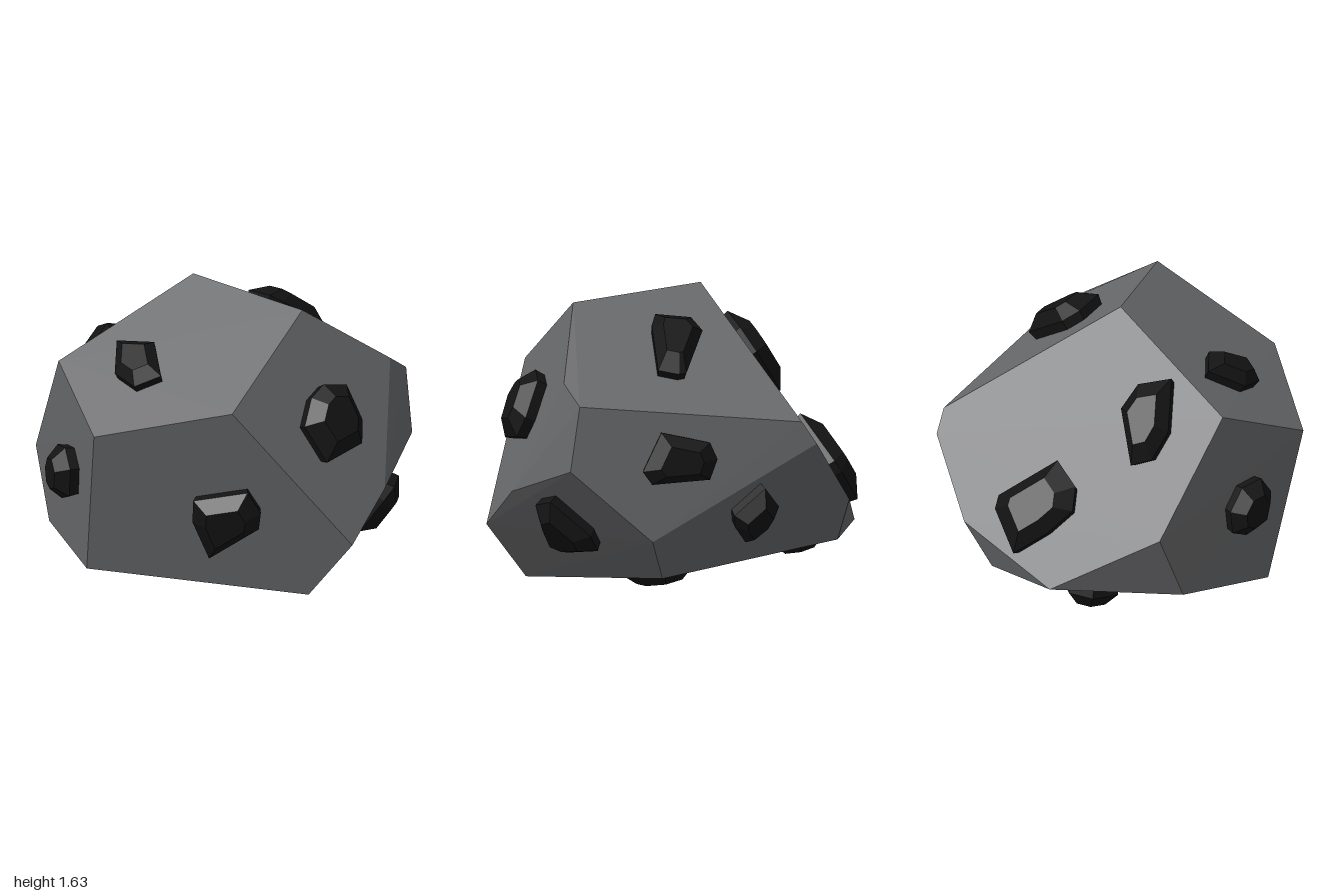
import * as THREE from 'three';
import { ConvexGeometry } from 'three/addons/geometries/ConvexGeometry.js';

const v = (x, y, z) => new THREE.Vector3(x, y, z);

// Corners of the faceted boulder
const corner = {
  peak: v(0, 1.62, -0.17), ridgeFront: v(0.16, 1.56, 0.54),
  frontTopR: v(-0.46, 1.15, 0.7), backTopR: v(-0.74, 1.23, -0.4), sideR: v(-0.94, 0.98, 0.13),
  baseR: v(-0.83, 0.175, -0.06), baseFront: v(0.01, 0.06, 0.77), nose: v(0.12, 0.37, 1),
  cheek: v(0.42, 0.6, 0.91), cheekSide: v(0.82, 0.77, 0.66), browFront: v(0.66, 1.22, 0.67),
  browSide: v(0.82, 1.12, 0.61), backTopL: v(0.845, 1.01, -0.58), backSideL: v(0.845, 0.89, -0.66),
  sideL: v(0.83, 0.38, 0.22), baseL: v(0.66, 0.15, 0.14), tail: v(-0.02, 0.31, -1),
  backLowL: v(0.56, 0.53, -0.88), baseBackL: v(0.415, 0.287, -0.84),
  backLowR: v(-0.57, 0.626, -0.79), baseBackR: v(-0.62, 0.256, -0.62),
};

const rockMaterial = new THREE.MeshStandardMaterial({ color: 0x68696b, flatShading: true });
const lumpMaterial = new THREE.MeshStandardMaterial({ color: 0x141414, flatShading: true });

// Dark lump on the face through three corners. The outline is given in two
// axes (e.g. 'xy'); the third coordinate follows from the plane of the face.
function lump(name, face, axes, outline, height = 0.125) {
  const plane = new THREE.Plane().setFromCoplanarPoints(...face.map((key) => corner[key]));
  if (plane.distanceToPoint(v(0, 0.8, 0)) > 0) plane.negate();
  const n = plane.normal;
  const [a, b] = axes;
  const c = ['x', 'y', 'z'].find((k) => !axes.includes(k));
  const belt = height * 0.45;

  const ring = outline.map(([p, q]) => {
    const point = v(0, 0, 0);
    point[a] = p;
    point[b] = q;
    point[c] = (belt - plane.constant - n[a] * p - n[b] * q) / n[c];
    return point;
  });
  const centre = ring.reduce((sum, p) => sum.add(p), v(0, 0, 0)).divideScalar(ring.length);

  // widest belt, a smaller cap above it and a buried root below it
  const layer = (scale, rise) =>
    ring.map((p) => p.clone().lerp(centre, 1 - scale).addScaledVector(n, rise));
  const points = [...ring, ...layer(0.58, height - belt), ...layer(0.88, -0.12)];
  const mesh = new THREE.Mesh(new ConvexGeometry(points), lumpMaterial);
  mesh.name = name;
  return mesh;
}

export function createModel() {
  const model = new THREE.Group();
  model.name = 'studdedBoulder';

  const rock = new THREE.Mesh(new ConvexGeometry(Object.values(corner)), rockMaterial);
  rock.name = 'boulder';
  model.add(rock);

  const backFace = ['peak', 'backTopR', 'backTopL'];
  const baseFace = ['baseFront', 'baseL', 'tail'];

  model.add(
    // front
    lump('frontLump', ['ridgeFront', 'frontTopR', 'nose'], 'xy',
      [[-0.05, 1.02], [0.04, 0.82], [0.3, 0.87], [0.34, 0.98], [0.29, 1.17], [0.14, 1.2], [0.04, 1.15]]),
    lump('frontRightLump', ['frontTopR', 'sideR', 'nose'], 'xy',
      [[-0.55, 0.63], [-0.36, 0.69], [-0.29, 0.57], [-0.28, 0.47], [-0.43, 0.28], [-0.53, 0.5]]),
    lump('frontLeftLump', ['nose', 'sideL', 'baseFront'], 'xy',
      [[0.42, 0.31], [0.52, 0.48], [0.57, 0.55], [0.66, 0.58], [0.66, 0.39], [0.61, 0.3], [0.47, 0.27]]),

    // left side
    lump('leftLump', ['browSide', 'sideL', 'backTopL'], 'zy',
      [[0.28, 0.77], [0.18, 0.98], [-0.08, 0.92], [-0.12, 0.83], [-0.08, 0.72], [0.23, 0.7]], 0.11),
    lump('lowerLeftLump', ['sideL', 'baseL', 'backSideL'], 'zy',
      [[-0.22, 0.51], [-0.38, 0.66], [-0.47, 0.54], [-0.42, 0.44], [-0.3, 0.34], [-0.23, 0.44]]),

    // top
    lump('topLeftLump', ['peak', 'ridgeFront', 'backTopL'], 'xz',
      [[0.29, 0.12], [0.3, -0.07], [0.38, -0.12], [0.65, 0.01], [0.66, 0.05], [0.64, 0.16], [0.36, 0.15]]),
    lump('topRightLump', ['peak', 'ridgeFront', 'backTopR'], 'xz',
      [[-0.67, 0.14], [-0.67, -0.02], [-0.53, -0.17], [-0.43, 0.02], [-0.55, 0.22]], 0.1),

    // back
    lump('upperBackLump', backFace, 'xz',
      [[-0.48, -0.53], [-0.43, -0.62], [-0.32, -0.65], [-0.18, -0.5], [-0.24, -0.42], [-0.42, -0.38]]),
    lump('lowerBackLump', backFace, 'xz',
      [[-0.06, -0.82], [0.05, -0.9], [0.21, -0.98], [0.38, -0.87], [0.38, -0.83], [0.1, -0.69], [-0.04, -0.75]]),

    // right side
    lump('rightLump', ['backTopR', 'sideR', 'baseR'], 'zy',
      [[-0.39, 0.68], [-0.32, 0.8], [-0.2, 0.82], [-0.13, 0.72], [-0.16, 0.56], [-0.28, 0.51], [-0.37, 0.55]]),

    // underside
    lump('baseLump', baseFace, 'xz',
      [[-0.19, 0.1], [-0.05, 0.28], [0.12, 0.22], [0.2, 0.05], [0.1, -0.12], [-0.04, -0.17], [-0.16, -0.05]], 0.15),
    lump('rearBaseLump', baseFace, 'xz',
      [[-0.27, -0.7], [-0.16, -0.57], [0.02, -0.56], [0.06, -0.7], [-0.05, -0.84], [-0.2, -0.85]]),
  );
  return model;
}
